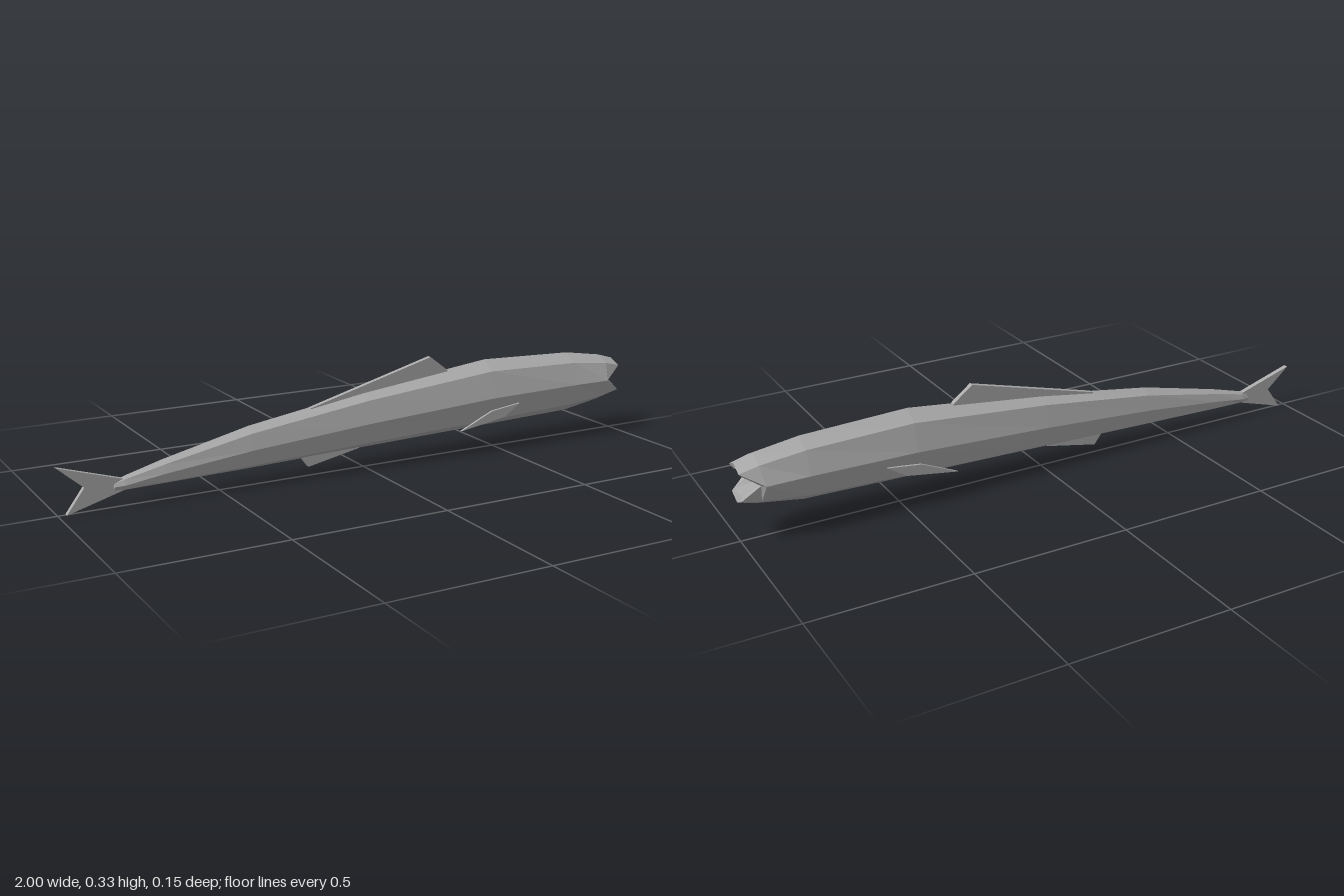
import * as THREE from 'three';

export function createModel() {
  const fish = new THREE.Group();
  fish.name = 'fish';
  const grey = new THREE.MeshStandardMaterial({ color: 0xaaaaaa, flatShading: true });
  grey.name = 'grey';

  // Eight-sided ring: top, shoulder, side, lower shoulder and bottom, mirrored in z.
  // A separate x for the side corners forms the open mouth notch.
  const ring = ([x, top, shY, shZ, sideY, sideZ, lowY, lowZ, bottom, sideX = x]) => [
    [x, top, 0], [x, shY, shZ], [sideX, sideY, sideZ], [x, lowY, lowZ],
    [x, bottom, 0], [x, lowY, -lowZ], [sideX, sideY, -sideZ], [x, shY, -shZ],
  ];

  // Joins rings from tail to head, closing both ends with a point
  function loft(rings, start, end) {
    const pos = [];
    const tri = (...p) => p.forEach((v) => pos.push(...v));
    const n = rings[0].length;
    const last = rings[rings.length - 1];
    for (let k = 0; k < n; k++) {
      const j = (k + 1) % n;
      tri(start, rings[0][j], rings[0][k]);
      for (let i = 0; i < rings.length - 1; i++) {
        const a = rings[i], b = rings[i + 1];
        tri(a[k], a[j], b[j]);
        tri(a[k], b[j], b[k]);
      }
      tri(last[k], last[j], end);
    }
    const g = new THREE.BufferGeometry();
    g.setAttribute('position', new THREE.Float32BufferAttribute(pos, 3));
    g.computeVertexNormals();
    return g;
  }

  function add(name, geometry) {
    const mesh = new THREE.Mesh(geometry, grey);
    mesh.name = name;
    fish.add(mesh);
    return mesh;
  }

  // Body from tail root to lips
  const bodyRings = [
    [-0.83, 0.077, 0.073, 0.008, 0.063, 0.012, 0.053, 0.008, 0.049],
    [-0.8, 0.09, 0.083, 0.013, 0.066, 0.02, 0.052, 0.012, 0.047],
    [-0.68, 0.123, 0.111, 0.018, 0.085, 0.026, 0.057, 0.018, 0.049],
    [-0.4, 0.188, 0.169, 0.027, 0.119, 0.038, 0.069, 0.027, 0.054],
    [0, 0.249, 0.225, 0.038, 0.154, 0.055, 0.087, 0.038, 0.065],
    [0.46, 0.302, 0.27, 0.048, 0.184, 0.071, 0.105, 0.048, 0.077],
    [0.8, 0.29, 0.262, 0.048, 0.19, 0.073, 0.118, 0.048, 0.086],
    [0.94, 0.268, 0.246, 0.046, 0.19, 0.073, 0.134, 0.047, 0.109, 0.93],
    [0.998, 0.251, 0.232, 0.042, 0.19, 0.06, 0.145, 0.042, 0.125, 0.942],
    // Inner lip and throat
    [0.99, 0.23, 0.219, 0.029, 0.19, 0.043, 0.159, 0.029, 0.148, 0.935],
    [0.9, 0.21, 0.204, 0.014, 0.19, 0.02, 0.176, 0.014, 0.17],
  ].map(ring);
  add('body', loft(bodyRings, [-0.84, 0.063, 0], [0.88, 0.19, 0]));

  // Fins are thin plates cut from side outlines
  function fin(name, points, thickness, z = 0) {
    const shape = new THREE.Shape(points.map(([x, y]) => new THREE.Vector2(x, y)));
    const g = new THREE.ExtrudeGeometry(shape, { depth: thickness, bevelEnabled: false });
    g.translate(0, 0, z - thickness / 2);
    add(name, g);
  }
  fin('dorsalFin', [[-0.19, 0.205], [0.31, 0.265], [0.31, 0.284], [0.245, 0.334], [-0.19, 0.218]], 0.016);
  fin('analFin', [[-0.23, 0.07], [-0.2, 0.03], [-0.02, 0.066], [-0.02, 0.08]], 0.016);
  fin('tailFin', [[-0.8, 0.05], [-0.8, 0.083], [-1, 0.145], [-0.92, 0.075], [-0.975, 0]], 0.016);

  // Paired side fins
  for (const [name, z] of [['frontSideFin', 0.065], ['backSideFin', -0.065]]) {
    fin(name, [[0.33, 0.088], [0.5, 0.115], [0.56, 0.155], [0.45, 0.141]], 0.008, z);
  }
  return fish;
}
